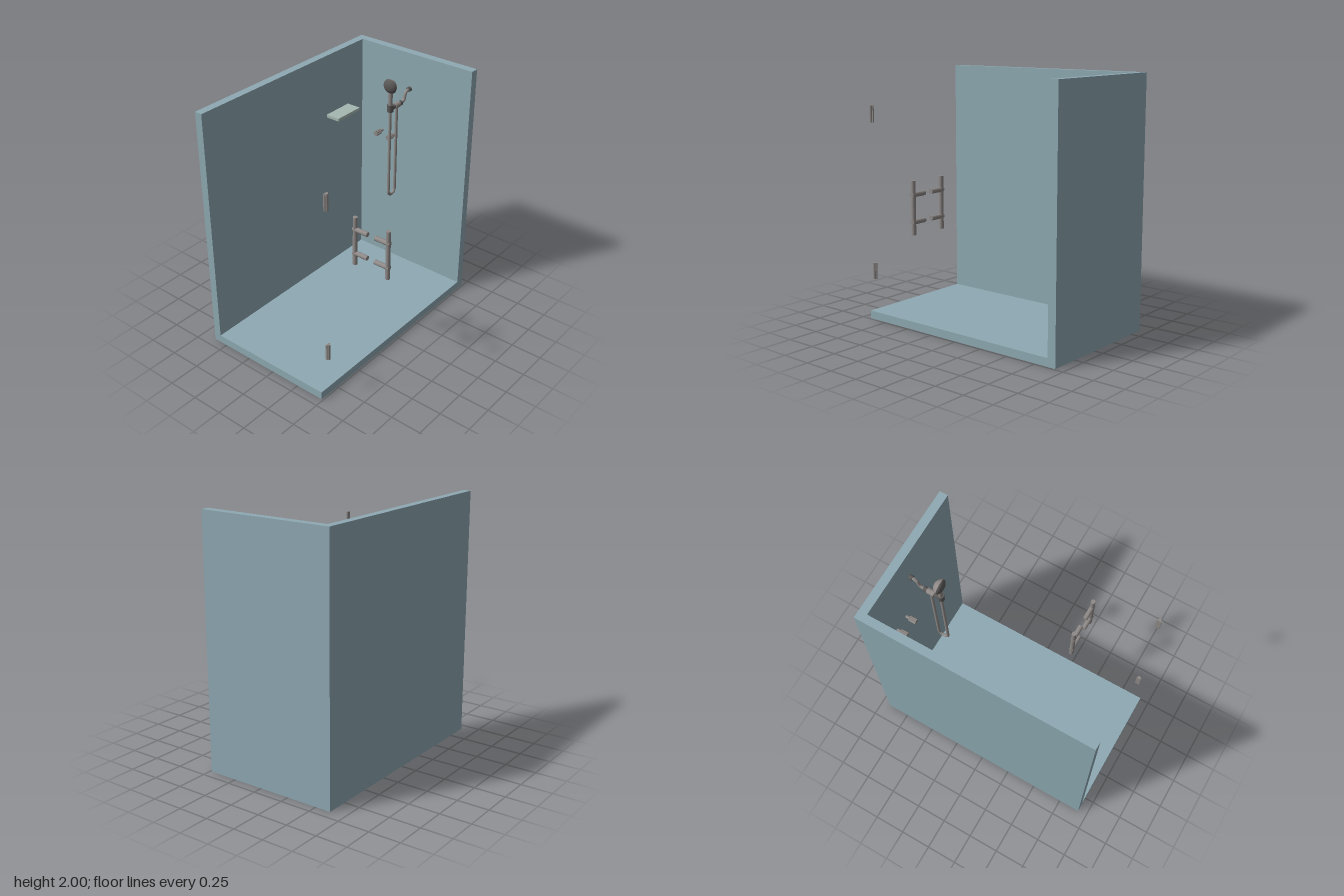
import * as THREE from 'three';

const paint = (color) => new THREE.MeshStandardMaterial({ color });

export function createModel() {
  const model = new THREE.Group();
  const wallMat = paint(0x8ea9b2), shelfMat = paint(0xa6b8b2);
  const metal = paint(0x8f8a88), darkMetal = paint(0x5c5a59);
  const V = (x, y, z) => new THREE.Vector3(x, y, z);

  function add(name, geometry, material, parent = model) {
    const mesh = new THREE.Mesh(geometry, material);
    mesh.name = name;
    parent.add(mesh);
    return mesh;
  }
  // Box given by its min and max corners
  function box(name, a, b, material, parent) {
    const mesh = add(name, new THREE.BoxGeometry(b[0] - a[0], b[1] - a[1], b[2] - a[2]), material, parent);
    mesh.position.set((a[0] + b[0]) / 2, (a[1] + b[1]) / 2, (a[2] + b[2]) / 2);
    return mesh;
  }
  // Cylinder running between two points
  function rod(name, a, b, radius, material, parent, sides = 24) {
    const dir = b.clone().sub(a);
    const mesh = add(name, new THREE.CylinderGeometry(radius, radius, dir.length(), sides), material, parent);
    mesh.position.copy(a).add(b).multiplyScalar(0.5);
    mesh.quaternion.setFromUnitVectors(V(0, 1, 0), dir.normalize());
    return mesh;
  }

  // Floor and two walls
  box('floor', [-0.925, 0, -0.625], [0.925, 0.065, 0.487], wallMat);
  box('backWall', [-0.925, 0.065, -0.625], [0.925, 2, -0.562], wallMat);
  box('sideWall', [0.858, 0.065, -0.562], [0.925, 2, 0.487], wallMat);
  box('shelf', [0.4, 1.472, -0.562], [0.67, 1.496, -0.44], shelfMat);

  // Pair of door handles, either side of the glass plane
  for (const [name, barZ, glassZ] of [['outerHandle', 0.605, 0.489], ['innerHandle', 0.302, 0.418]]) {
    const handle = new THREE.Group();
    handle.name = name;
    rod('handleBar', V(-0.307, 0.8, barZ), V(-0.307, 1.21, barZ), 0.018, metal, handle);
    const tip = barZ + Math.sign(barZ - glassZ) * 0.016;
    for (const y of [0.898, 1.105])
      rod('handlePost', V(-0.307, y, glassZ), V(-0.307, y, tip), 0.019, metal, handle);
    model.add(handle);
  }

  // Door hinges: thin plate with a pin
  for (const y of [0.345, 1.6]) {
    const hinge = new THREE.Group();
    hinge.name = 'hinge';
    box('hingePlate', [-0.873, y, 0.488], [-0.835, y + 0.132, 0.499], metal, hinge);
    rod('hingePin', V(-0.854, y, 0.502), V(-0.854, y + 0.132, 0.502), 0.011, metal, hinge, 12);
    model.add(hinge);
  }

  // Water taps with ribbed grips
  for (const z of [-0.345, -0.22]) {
    const tap = new THREE.Group();
    tap.name = 'tap';
    rod('tapStem', V(0.8, 1.25, z), V(0.86, 1.25, z), 0.012, metal, tap);
    rod('tapKnob', V(0.765, 1.25, z), V(0.826, 1.25, z), 0.018, metal, tap);
    for (let i = 0; i < 8; i++) {
      const a = (i / 8) * Math.PI * 2, y = 1.25 + 0.017 * Math.cos(a), rz = z + 0.017 * Math.sin(a);
      rod('tapRib', V(0.765, y, rz), V(0.826, y, rz), 0.006, metal, tap, 8);
    }
    model.add(tap);
  }

  // Hand shower
  const shower = new THREE.Group();
  shower.name = 'handShower';
  shower.position.z = -0.08;
  model.add(shower);
  rod('wallFitting', V(0.832, 1.7, 0), V(0.86, 1.7, 0), 0.02, darkMetal, shower);
  const arm = new THREE.CatmullRomCurve3([
    V(0.85, 1.7, 0), V(0.825, 1.699, 0), V(0.801, 1.684, 0), V(0.792, 1.66, 0),
    V(0.783, 1.636, 0), V(0.76, 1.622, 0), V(0.73, 1.62, 0)]);
  add('supplyArm', new THREE.TubeGeometry(arm, 40, 0.013, 14), metal, shower);
  rod('armCollar', V(0.716, 1.62, 0), V(0.746, 1.62, 0), 0.02, darkMetal, shower);
  rod('connector', V(0.655, 1.62, 0), V(0.716, 1.62, 0), 0.024, metal, shower);
  rod('connectorNeck', V(0.6, 1.62, 0), V(0.655, 1.62, 0), 0.018, darkMetal, shower);
  rod('holder', V(0.602, 1.595, 0), V(0.602, 1.655, 0), 0.026, darkMetal, shower);
  rod('showerGrip', V(0.602, 1.65, 0), V(0.602, 1.79, 0), 0.018, metal, shower);

  // Head: domed back and gently curved spray face
  const head = new THREE.Group();
  head.name = 'showerHead';
  head.position.set(0.594, 1.813, 0);
  head.rotation.z = Math.PI / 2 + 0.08;
  shower.add(head);
  const lathe = (pts) => new THREE.LatheGeometry(
    new THREE.SplineCurve(pts.map((p) => new THREE.Vector2(...p))).getPoints(16), 32);
  add('headBack', lathe([[0, -0.046], [0.02, -0.043], [0.042, -0.03], [0.056, -0.012], [0.061, 0]]), metal, head);
  add('sprayFace', lathe([[0.061, 0], [0.053, 0.013], [0.035, 0.024], [0.016, 0.029], [0, 0.03]]), darkMetal, head);

  // Hanging hose: two straight runs joined by a half-circle
  const hose = new THREE.CurvePath();
  const bend = [];
  for (let i = 0; i <= 16; i++) {
    const a = Math.PI + (i / 16) * Math.PI;
    bend.push(V(0.645 + 0.042 * Math.cos(a), 0.87 + 0.042 * Math.sin(a), 0));
  }
  hose.add(new THREE.LineCurve3(V(0.603, 1.6, 0), V(0.603, 0.87, 0)));
  hose.add(new THREE.CatmullRomCurve3(bend));
  hose.add(new THREE.LineCurve3(V(0.687, 0.87, 0), V(0.687, 1.61, 0)));
  add('hose', new THREE.TubeGeometry(hose, 200, 0.012, 14), metal, shower);

  return model;
}
